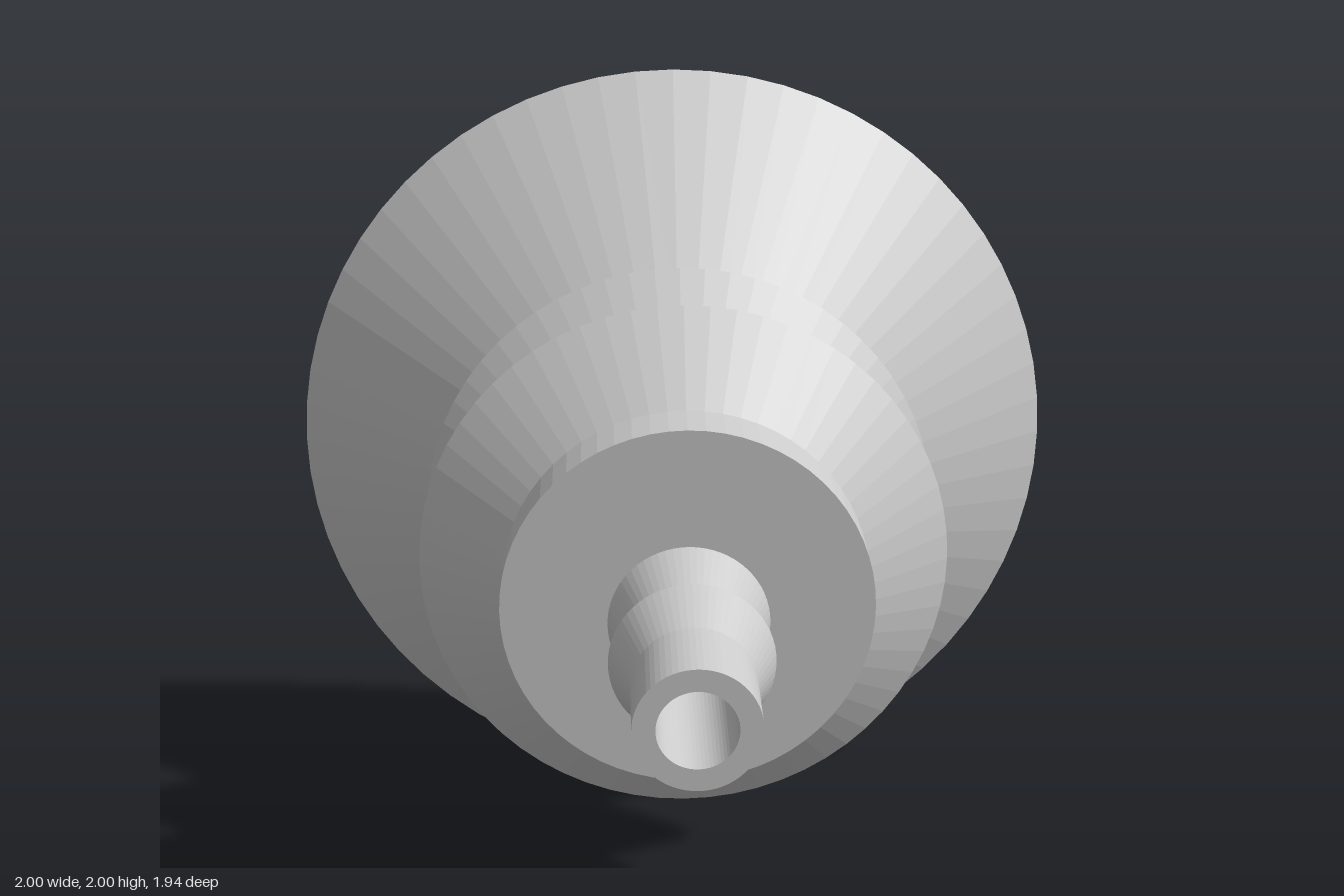
import * as THREE from 'three';
import { mergeGeometries } from 'three/addons/utils/BufferGeometryUtils.js';

const SIDES = 64;
const material = new THREE.MeshStandardMaterial({ color: 0xcccccc, flatShading: true });

// Turn one or more [radius, z] profiles around the z axis.
// Outer walls run towards +z, inner walls towards -z.
function turned(name, ...profiles) {
  const shells = profiles.map((profile) =>
    new THREE.LatheGeometry(profile.map(([r, z]) => new THREE.Vector2(r, z)), SIDES).rotateX(Math.PI / 2));
  const mesh = new THREE.Mesh(mergeGeometries(shells), material);
  mesh.name = name;
  return mesh;
}

export function createModel() {
  const group = new THREE.Group();
  group.name = 'suctionCup';

  const neck = 0.433, ridge = 0.635, wall = 0.09, bore = 0.088;
  const back = -0.97, cupNeck = -0.51, collarBack = 0.16, collarFront = 0.305, floor = 0.2, tip = 0.97;

  // Flared cup: inside wall, flat rim, outside wall
  group.add(turned('flaredCup',
    [[neck - wall, cupNeck], [0.92, back], [1, back], [neck, cupNeck]]));

  // Bellows: two pleats, with the inside following the outside
  const pleats = [];
  const steps = 4;
  for (let i = 0; i <= steps; i++) {
    pleats.push([i % 2 ? ridge : neck, THREE.MathUtils.lerp(cupNeck, collarBack, i / steps)]);
  }
  const inside = pleats.map(([r, z]) => [r - wall, z]).reverse();
  group.add(turned('bellows', pleats, inside));

  // Collar closing the bellows, with its inner floor
  group.add(turned('collar',
    [[neck, collarBack], [neck, collarFront], [0.138, collarFront]],
    [[bore, floor], [neck - wall, floor], [neck - wall, collarBack]]));

  // Hose nozzle: two barbs on a tube, then the bore back to the floor
  const tube = 0.138, barb = 0.185;
  const nozzle = [[tube, collarFront]];
  for (const z of [0.387, 0.613]) nozzle.push([tube, z], [barb, z], [tube, z + 0.132]);
  nozzle.push([tube, tip], [bore, tip], [bore, floor]);
  group.add(turned('barbedNozzle', nozzle));

  // Lift so the rim stands on the ground
  group.children.forEach((part) => { part.position.y = 1; });
  return group;
}
